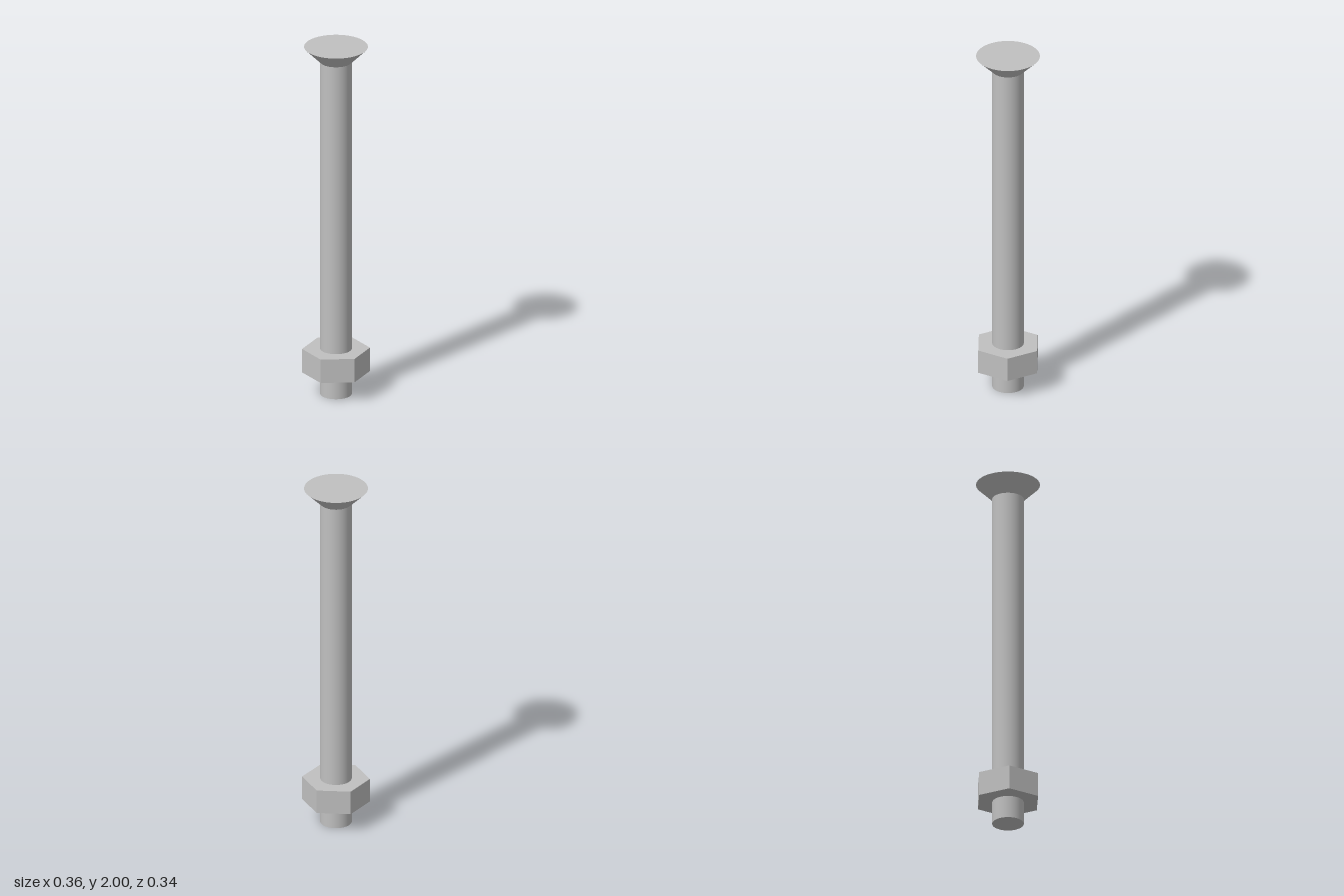
import * as THREE from 'three';

const SHANK_R = 0.085, HEAD_R = 0.171, NUT_R = 0.182;
const HEAD_BASE = 1.915, TOP = 2, NUT_BASE = 0.125, NUT_H = 0.135;
const SEGMENTS = 64;

export function createModel() {
  const model = new THREE.Group();
  model.name = 'countersunkBoltWithNut';

  const steel = new THREE.MeshStandardMaterial({ color: 0xc0c0c0 });
  steel.name = 'steel grey';

  const add = (name, geometry, y) => {
    const mesh = new THREE.Mesh(geometry, steel);
    mesh.name = name;
    mesh.position.y = y;
    model.add(mesh);
  };

  // Plain round shank, closed at the bottom by its tip and at the top by the head
  add('shank', new THREE.CylinderGeometry(SHANK_R, SHANK_R, HEAD_BASE, SEGMENTS, 1, true), HEAD_BASE / 2);
  add('shankTip', new THREE.CircleGeometry(SHANK_R, SEGMENTS).rotateX(Math.PI / 2), 0);

  // Flat-topped conical head
  add('countersunkHead', new THREE.CylinderGeometry(HEAD_R, SHANK_R, TOP - HEAD_BASE, SEGMENTS), (TOP + HEAD_BASE) / 2);

  // Hexagonal nut with corners on the x axis, bored for the shank
  const hexagon = new THREE.Shape(Array.from({ length: 6 }, (_, i) => {
    const a = i * Math.PI / 3;
    return new THREE.Vector2(NUT_R * Math.cos(a), NUT_R * Math.sin(a));
  }));
  hexagon.holes.push(new THREE.Path().absarc(0, 0, SHANK_R, 0, Math.PI * 2, true));
  const nut = new THREE.ExtrudeGeometry(hexagon, { depth: NUT_H, bevelEnabled: false, curveSegments: SEGMENTS / 2 });
  add('hexNut', nut.rotateX(-Math.PI / 2), NUT_BASE);

  return model;
}
